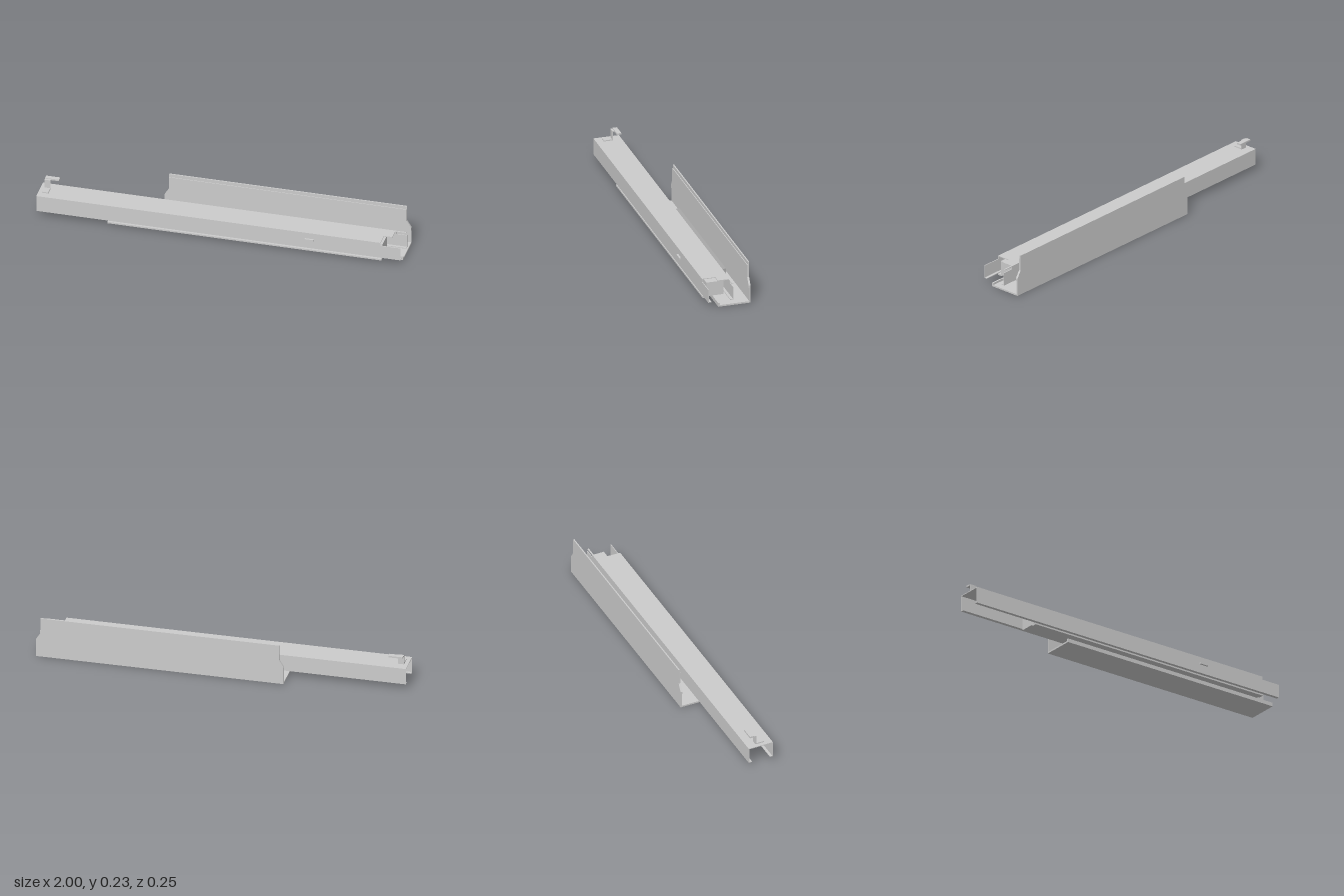
import * as THREE from 'three';

const grey = new THREE.MeshStandardMaterial({ color: 0xcccccc, flatShading: true });
const dark = new THREE.MeshStandardMaterial({ color: 0xa8a8a8, flatShading: true });

export function createModel() {
  const root = new THREE.Group();

  // box given by its min and max on each axis
  const box = (name, [x0, x1], [y0, y1], [z0, z1], parent = root, mat = grey) => {
    const m = new THREE.Mesh(new THREE.BoxGeometry(x1 - x0, y1 - y0, z1 - z0), mat);
    m.position.set((x0 + x1) / 2, (y0 + y1) / 2, (z0 + z1) / 2);
    m.name = name;
    parent.add(m);
  };
  const extrude = (name, points, depth, parent, mat = grey) => {
    const shape = new THREE.Shape(points.map(p => new THREE.Vector2(...p)));
    const m = new THREE.Mesh(new THREE.ExtrudeGeometry(shape, { depth, bevelEnabled: false }), mat);
    m.name = name;
    parent.add(m);
    return m;
  };
  // outline in x, y extruded along z
  const sheetXY = (name, pts, z0, z1, parent) => {
    extrude(name, pts, z1 - z0, parent).position.z = z0;
  };
  // outline in x, z extruded upward
  const sheetXZ = (name, pts, y0, y1, parent, mat) => {
    const m = extrude(name, pts, y1 - y0, parent, mat);
    m.rotation.x = Math.PI / 2;
    m.position.y = y1;
  };
  const group = name => {
    const g = new THREE.Group();
    g.name = name;
    root.add(g);
    return g;
  };

  // downward-open channel rail with a cut-out at its left end
  const rail = group('channelRail');
  sheetXZ('railTop', [[-1, -0.028], [0.995, -0.028], [0.995, -0.02], [0.935, -0.02], [0.935, 0.04],
    [0.89, 0.04], [0.89, 0.114], [-1, 0.114]], 0.119, 0.123, rail);
  sheetXY('railFrontWall', [[-1, 0.031], [1, 0.031], [1, 0.105], [0.89, 0.105], [0.89, 0.123], [-1, 0.123]],
    0.11, 0.114, rail);
  sheetXY('railBackWall', [[-1, 0.031], [1, 0.031], [1, 0.105], [0.94, 0.105], [0.94, 0.123], [-1, 0.123]],
    -0.028, -0.024, rail);
  box('railFrontLip', [-1, 1], [0.031, 0.035], [0.096, 0.113], rail);
  box('railBackLip', [-1, 1], [0.031, 0.035], [-0.027, -0.009], rail);
  box('frontPin', [0.475, 0.525], [0.08, 0.089], [0.113, 0.124], rail);

  // sliding core inside the rail, with a flange below
  const slide = group('slide');
  box('slideCore', [-0.61, 0.895], [0.021, 0.1], [-0.004, 0.091], slide);
  box('slideFlange', [-0.61, 0.895], [0.013, 0.0215], [0.082, 0.112], slide);

  // angle bracket: floor, short lip and tall back plate with a raised panel
  const bracket = group('angleBracket');
  box('bracketFloor', [-0.355, 1], [0, 0.009], [-0.122, 0.058], bracket);
  box('bracketLip', [-0.355, 1], [0, 0.021], [0.05, 0.058], bracket);
  sheetXY('backPlate', [[-0.355, 0], [1, 0], [1, 0.1], [0.975, 0.14], [0.975, 0.228],
    [-0.33, 0.228], [-0.33, 0.14], [-0.355, 0.1]], -0.122, -0.115, bracket);
  sheetXY('raisedPanel', [[-0.355, 0.085], [1, 0.085], [1, 0.1], [0.975, 0.14], [0.975, 0.21],
    [-0.33, 0.21], [-0.33, 0.14], [-0.355, 0.1]], -0.1155, -0.111, bracket);

  // stepped block on the bracket floor
  sheetXZ('steppedBlock', [[-0.16, -0.097], [0.65, -0.097], [0.65, -0.057], [0.28, -0.057],
    [0.28, -0.035], [-0.16, -0.035]], 0.009, 0.05, root, dark);

  // bent hook on top of the right end
  const hook = group('endHook');
  box('hookFoot', [-0.978, -0.945], [0.123, 0.129], [0.023, 0.073], hook);
  box('hookUpright', [-0.978, -0.945], [0.123, 0.177], [0.022, 0.027], hook);
  box('hookArm', [-0.978, -0.945], [0.172, 0.177], [-0.01, 0.027], hook);
  box('hookTip', [-0.978, -0.9], [0.172, 0.181], [-0.01, 0.015], hook);

  return root;
}
